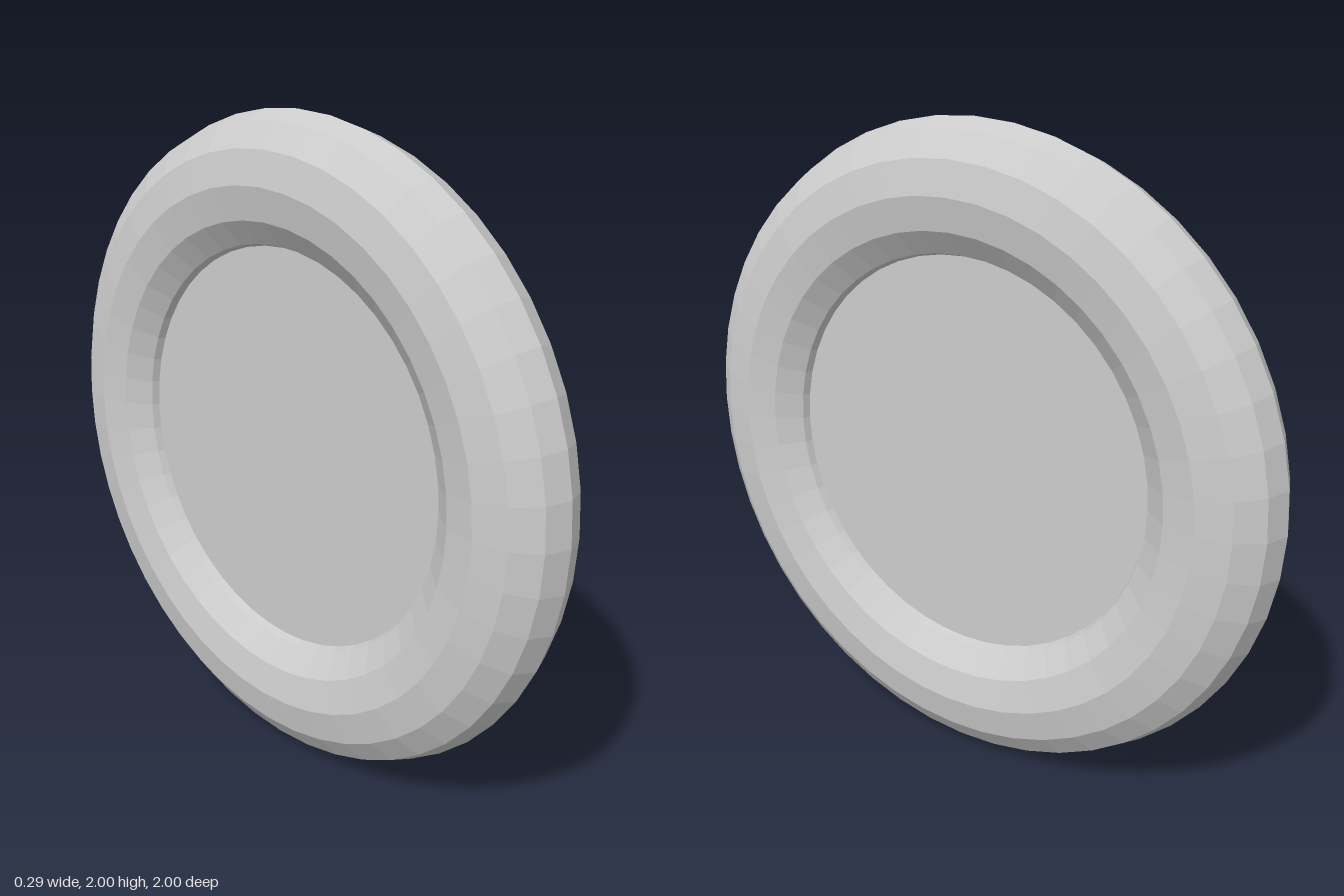
import * as THREE from 'three';

export function createModel() {
  const group = new THREE.Group();
  const material = new THREE.MeshStandardMaterial({ color: 0xcccccc, flatShading: true });

  // Faceted ring, flattened along its axis, which points along x
  const ringGeometry = new THREE.TorusGeometry(0.8, 0.2, 12, 48);
  ringGeometry.scale(1, 1, 0.73);
  ringGeometry.rotateY(Math.PI / 2);
  const ring = new THREE.Mesh(ringGeometry, material);
  ring.name = 'ring';

  // Flat disc closing the hole, its rim buried in the ring
  const discGeometry = new THREE.CylinderGeometry(0.63, 0.63, 0.1, 48);
  discGeometry.rotateZ(Math.PI / 2);
  const disc = new THREE.Mesh(discGeometry, material);
  disc.name = 'centreDisc';

  for (const part of [ring, disc]) {
    part.position.y = 1;
    group.add(part);
  }
  return group;
}
